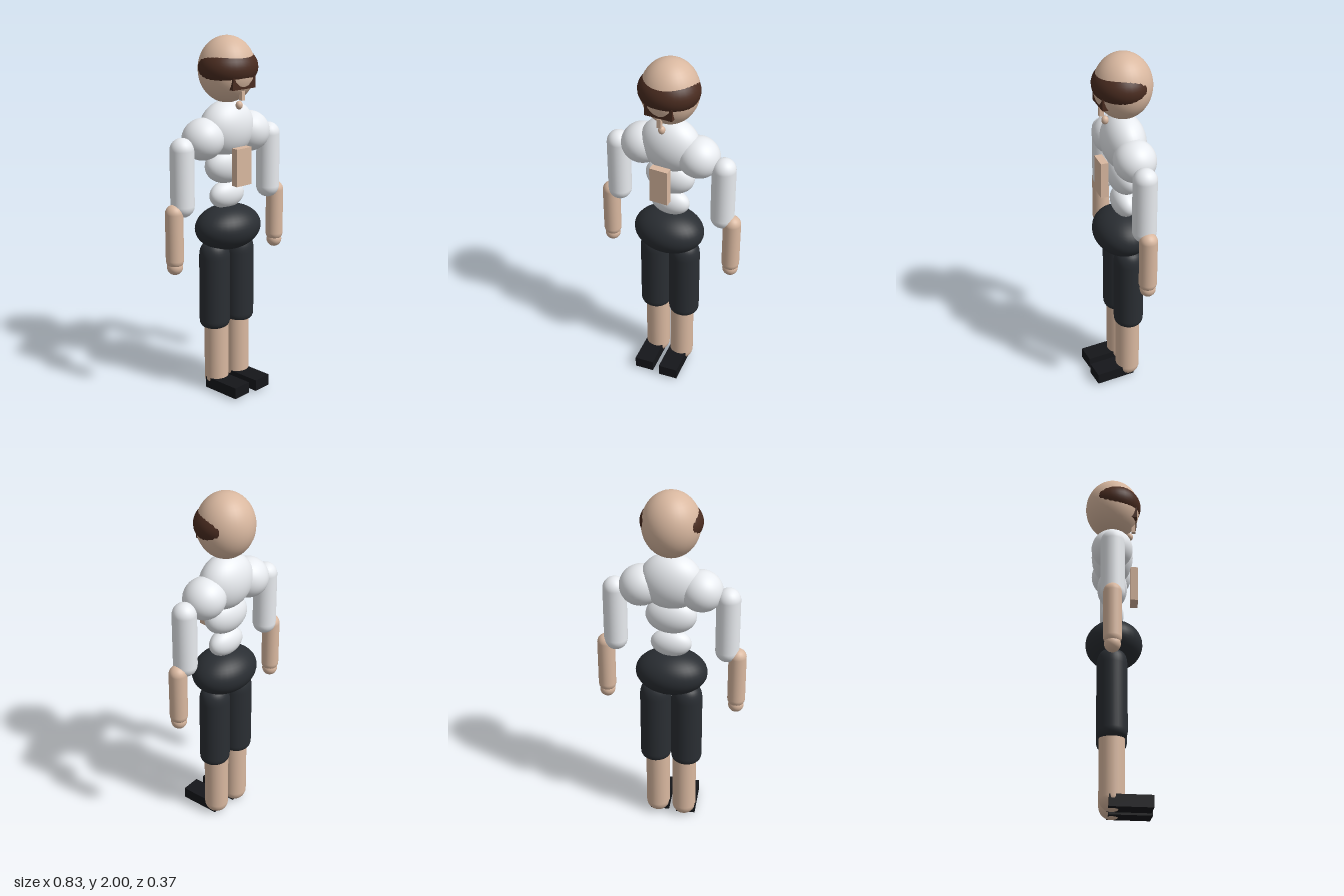
import * as THREE from 'three';

const material = (color) => new THREE.MeshStandardMaterial({ color });

export function createModel() {
  const model = new THREE.Group();
  const skin = material(0xd9b8a0);
  const shirt = material(0xe8ebef);
  const shorts = material(0x2a2e33);
  const shoe = material(0x15161a);
  const hair = material(0x4a2c20);

  const add = (name, geometry, mat, x, y, z) => {
    const mesh = new THREE.Mesh(geometry, mat);
    mesh.name = name;
    mesh.position.set(x, y, z);
    model.add(mesh);
    return mesh;
  };
  const ellipsoid = (name, mat, [x, y, z], [rx, ry, rz]) =>
    add(name, new THREE.SphereGeometry(1, 32, 24).scale(rx, ry, rz), mat, x, y, z);
  const box = (name, mat, [x, y, z], [w, h, d]) =>
    add(name, new THREE.BoxGeometry(w, h, d), mat, x, y, z);
  // Capsule given by its lowest and highest point
  const capsule = (name, mat, x, z, bottom, top, r) =>
    add(name, new THREE.CapsuleGeometry(r, top - bottom - 2 * r, 8, 24), mat, x, (bottom + top) / 2, z);

  // Head with hair band and small face parts
  ellipsoid('head', skin, [0, 1.823, -0.028], [0.155, 0.177, 0.155]);
  ellipsoid('hairBand', hair, [0, 1.835, -0.017], [0.165, 0.117, 0.152]);
  box('fringe', hair, [0, 1.765, 0.085], [0.155, 0.065, 0.05]);
  box('nose', skin, [0, 1.697, 0.092], [0.022, 0.05, 0.024]);
  ellipsoid('chin', skin, [0, 1.643, 0.07], [0.019, 0.023, 0.019]);

  // Torso
  ellipsoid('chest', shirt, [0, 1.505, -0.03], [0.17, 0.155, 0.117]);
  ellipsoid('midriff', shirt, [0, 1.305, -0.03], [0.14, 0.103, 0.084]);
  ellipsoid('waist', shirt, [0, 1.137, -0.03], [0.113, 0.077, 0.064]);
  ellipsoid('hips', shorts, [0, 0.955, -0.02], [0.2, 0.125, 0.156]);
  box('frontPanel', skin, [0, 1.315, 0.092], [0.104, 0.205, 0.042]);

  // Rounded barrel profile for the trouser legs
  const legProfile = new THREE.Path();
  legProfile.moveTo(0, 0);
  legProfile.lineTo(0.05, 0);
  legProfile.quadraticCurveTo(0.087, 0, 0.087, 0.045);
  legProfile.lineTo(0.087, 0.41);
  legProfile.quadraticCurveTo(0.087, 0.485, 0.04, 0.495);
  legProfile.lineTo(0, 0.5);
  const legGeometry = new THREE.LatheGeometry(legProfile.getPoints(8), 32).scale(1, 1, 0.95);

  // Limbs on both sides
  for (const [side, s] of [['left', 1], ['right', -1]]) {
    const shoulder = ellipsoid(side + 'Shoulder', shirt, [s * 0.163, 1.467, -0.033], [0.118, 0.112, 0.114]);
    shoulder.rotation.z = -s * 0.35;
    capsule(side + 'UpperArm', shirt, s * 0.309, -0.032, 1.065, 1.495, 0.065);
    capsule(side + 'Forearm', skin, s * 0.366, -0.033, 0.79, 1.145, 0.049);
    ellipsoid(side + 'Hand', skin, [s * 0.366, 0.798, -0.033], [0.043, 0.043, 0.043]);
    add(side + 'TrouserLeg', legGeometry, shorts, s * 0.089, 0.385, -0.031);
    capsule(side + 'Shin', skin, s * 0.077, -0.031, 0.005, 0.6, 0.068);
  }

  // Shoes, both turned slightly the same way
  for (const [name, x] of [['leftShoe', 0.075], ['rightShoe', -0.079]]) {
    box(name, shoe, [x, 0.047, 0.063], [0.11, 0.065, 0.23]).rotation.y = 0.095;
  }
  // Ground the figure
  model.children.forEach((part) => { part.position.y -= 0.003; });
  return model;
}
